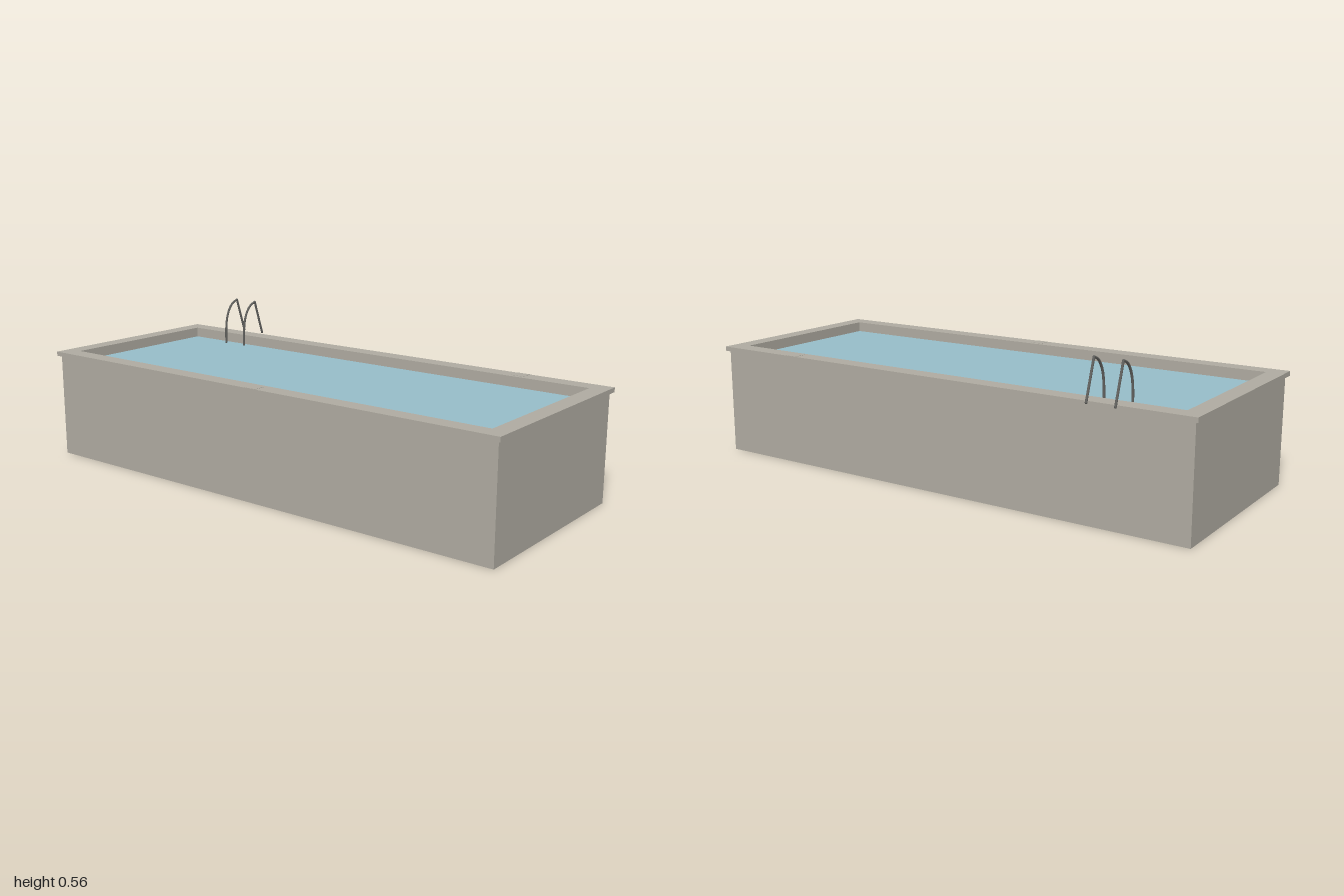
import * as THREE from 'three';

const stone = new THREE.MeshStandardMaterial({ color: 0xaeaaa0 });
stone.name = 'stone';
const waterBlue = new THREE.MeshStandardMaterial({ color: 0x96bcc8 });
waterBlue.name = 'waterBlue';
const steel = new THREE.MeshStandardMaterial({ color: 0x62625f });
steel.name = 'steel';

// The basin sits slightly off centre so that the ladder fits the footprint
const CX = -0.016;

function rectangle(target, halfX, halfZ) {
  target.moveTo(CX - halfX, -halfZ);
  target.lineTo(CX + halfX, -halfZ);
  target.lineTo(CX + halfX, halfZ);
  target.lineTo(CX - halfX, halfZ);
  target.closePath();
  return target;
}

// Rectangular ring lying flat between two heights
function frame(name, outer, inner, y0, y1) {
  const shape = rectangle(new THREE.Shape(), ...outer);
  shape.holes.push(rectangle(new THREE.Path(), ...inner));
  const geometry = new THREE.ExtrudeGeometry(shape, { depth: y1 - y0, bevelEnabled: false });
  geometry.rotateX(-Math.PI / 2).translate(0, y0, 0);
  const mesh = new THREE.Mesh(geometry, stone);
  mesh.name = name;
  return mesh;
}

function box(name, size, position, material) {
  const mesh = new THREE.Mesh(new THREE.BoxGeometry(...size), material);
  mesh.position.set(...position);
  mesh.name = name;
  return mesh;
}

// Handrail: curved rise out of the water, then a straight leg down to the deck
function handrail(z) {
  const at = (x, y) => new THREE.Vector3(x, y, 0);
  const rise = new THREE.CatmullRomCurve3([
    at(0.291, 0.382), at(0.291, 0.42), at(0.293, 0.455), at(0.301, 0.496),
    at(0.316, 0.527), at(0.336, 0.548), at(0.363, 0.56),
  ]);
  const leg = new THREE.LineCurve3(at(0.363, 0.56), at(0.408, 0.421));
  const rail = new THREE.Group();
  rail.name = 'handrail';
  const parts = [['curvedRail', rise, 20], ['straightRail', leg, 1]];
  for (const [name, curve, segments] of parts) {
    const mesh = new THREE.Mesh(new THREE.TubeGeometry(curve, segments, 0.0045, 8), steel);
    mesh.name = name;
    rail.add(mesh);
  }
  // Joint between both tubes, and caps on the open ends
  for (const p of [rise.points[0], leg.v1, leg.v2]) {
    const cap = new THREE.Mesh(new THREE.SphereGeometry(0.0045, 8, 6), steel);
    cap.position.copy(p);
    cap.name = 'railCap';
    rail.add(cap);
  }
  rail.position.z = z;
  return rail;
}

export function createModel() {
  const pool = new THREE.Group();
  pool.name = 'swimmingPool';

  // Shell, floor and overhanging coping
  pool.add(frame('walls', [0.384, 0.988], [0.336, 0.94], 0, 0.404));
  pool.add(box('floor', [0.674, 0.02, 1.882], [CX, 0.013, 0], stone));
  pool.add(frame('coping', [0.397, 1], [0.332, 0.936], 0.403, 0.42));

  // Water surface
  pool.add(box('water', [0.674, 0.008, 1.882], [CX, 0.376, 0], waterBlue));

  // Thin cover plates on the long sides of the coping
  pool.add(box('leftPlate', [0.048, 0.002, 0.05], [0.356, 0.42, 0.65], stone));
  pool.add(box('rightPlate', [0.048, 0.002, 0.05], [-0.388, 0.42, 0.025], stone));

  // Ladder
  const ladder = new THREE.Group();
  ladder.name = 'ladder';
  for (const z of [-0.635, -0.738]) ladder.add(handrail(z));
  pool.add(ladder);

  return pool;
}
